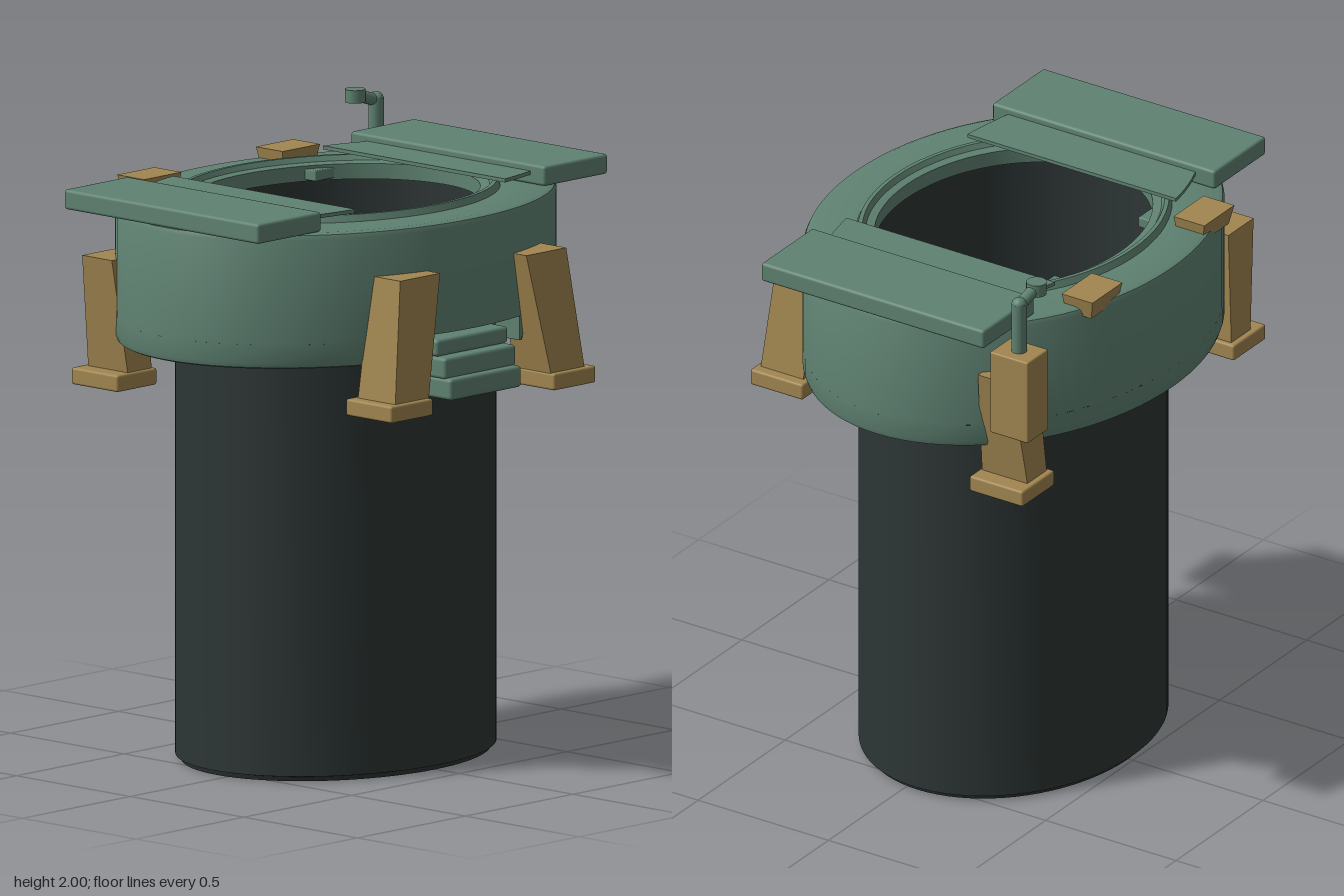
import * as THREE from 'three';
import { toCreasedNormals } from 'three/addons/utils/BufferGeometryUtils.js';
import { RoundedBoxGeometry } from 'three/addons/geometries/RoundedBoxGeometry.js';

const CZ = -0.043; // z of the shared oval axis

const paint = (name, color) => {
  const m = new THREE.MeshStandardMaterial({ color });
  m.name = name;
  return m;
};

// Oval lathe: each profile point is [x radius, z radius, y]
function oval(profile, start = 0, length = Math.PI * 2) {
  const n = profile.length;
  const seg = 80;
  const g = new THREE.LatheGeometry(profile.map(p => new THREE.Vector2(p[0], p[2])), seg, start, length);
  const pos = g.attributes.position;
  for (let i = 0; i < pos.count; i++) {
    const [rx, rz, y] = profile[i % n];
    const a = start + (Math.floor(i / n) / seg) * length;
    pos.setXYZ(i, Math.sin(a) * rx, y, Math.cos(a) * rz + CZ);
  }
  return toCreasedNormals(g, 0.6);
}

// Box between two limits, with softened edges
function box(x0, x1, y0, y1, z0, z1, r = 0.008) {
  const g = new RoundedBoxGeometry(Math.abs(x1 - x0), y1 - y0, z1 - z0, 2, r);
  return g.translate((x0 + x1) / 2, (y0 + y1) / 2, (z0 + z1) / 2);
}

// Tapered block between a bottom and a top rectangle [x0, x1, z0, z1]
function taper(bottom, top, y0, y1) {
  const g = new THREE.BoxGeometry(1, 1, 1).toNonIndexed();
  const pos = g.attributes.position;
  for (let i = 0; i < pos.count; i++) {
    const up = pos.getY(i) > 0;
    const q = up ? top : bottom;
    pos.setXYZ(i, q[pos.getX(i) > 0 ? 1 : 0], up ? y1 : y0, q[pos.getZ(i) > 0 ? 3 : 2]);
  }
  g.computeVertexNormals();
  return g;
}

export function createModel() {
  const model = new THREE.Group();
  const green = paint('sage green', 0x5f8272);
  const tan = paint('ochre', 0xa18650);
  const dark = paint('charcoal', 0x2d3635);
  const add = (name, geometry, material) => {
    const m = new THREE.Mesh(geometry, material);
    m.name = name;
    model.add(m);
    return m;
  };

  // Deep hollow shaft with a closed bottom
  add('shaft', oval([
    [0, 0, 0], [0.55, 0.44, 0], [0.555, 0.445, 0.015], [0.568, 0.458, 0.018],
    [0.568, 0.458, 1.79], [0.545, 0.44, 1.79], [0.545, 0.44, 0.05], [0, 0, 0.05],
  ]), dark);

  // Upper collar with rounded shoulder and raised inner rim
  add('collar', oval([
    [0.795, 0.612, 1.46], [0.795, 0.612, 1.80], [0.789, 0.606, 1.814], [0.775, 0.592, 1.82],
    [0.58, 0.47, 1.82], [0.57, 0.46, 1.842], [0.555, 0.447, 1.842], [0.545, 0.437, 1.825],
    [0.51, 0.412, 1.82], [0.51, 0.412, 1.77], [0.55, 0.445, 1.77],
  ]), green);

  // Lower collar, open at the front for the step recess
  const gap = 0.307;
  add('lowerCollar', oval([
    [0.56, 0.45, 1.38], [0.78, 0.597, 1.38], [0.79, 0.607, 1.385], [0.795, 0.612, 1.40], [0.795, 0.612, 1.46],
  ], gap, Math.PI * 2 - gap * 2), green);
  add('recessWall', oval([
    [0.56, 0.45, 1.38], [0.69, 0.507, 1.38], [0.69, 0.507, 1.46], [0.795, 0.612, 1.46],
  ], -0.37, 0.74), green);
  for (const s of [-1, 1]) {
    add('recessSide', box(s * 0.24, s * 0.25, 1.38, 1.465, 0.42, 0.537, 0.001), green);
  }

  // Front steps
  [[1.385, 1.44, 0.56], [1.315, 1.385, 0.595], [1.25, 1.32, 0.62]].forEach(([y0, y1, z]) => {
    add('step', box(-0.165, 0.165, y0, y1, 0.44, z, 0.012), green);
  });

  // Opened cover panels with thin inner leaves over the opening
  for (const [s, edge] of [[-1, 0.33], [1, 0.365]]) {
    add('coverPanel', box(s * 0.517, s * 0.812, 1.82, 1.885, -0.47, 0.385, 0.01), green);
    const leaf = new THREE.Shape();
    leaf.moveTo(s * 0.53, 0.39);
    leaf.quadraticCurveTo(s * 0.43, 0.432, s * edge, 0.445);
    leaf.lineTo(s * edge, -0.355);
    leaf.quadraticCurveTo(s * 0.43, -0.345, s * 0.53, -0.32);
    const g = new THREE.ExtrudeGeometry(leaf, { depth: 0.012, bevelEnabled: false });
    add('coverLeaf', g.rotateX(-Math.PI / 2).translate(0, 1.851, 0), green);
  }

  for (const s of [-1, 1]) {
    // Front leg leaning outward, with foot
    const side = (a, b) => [Math.min(s * a, s * b), Math.max(s * a, s * b)];
    add('frontLeg', taper([...side(0.285, 0.44), 0.47, 0.635], [...side(0.2, 0.385), 0.48, 0.605], 1.27, 1.67), tan);
    add('frontFoot', box(s * 0.28, s * 0.475, 1.225, 1.28, 0.45, 0.652), tan);
    // Back leg and foot
    add('backLeg', taper([...side(0.53, 0.64), -0.525, -0.35], [...side(0.55, 0.695), -0.5, -0.37], 1.27, 1.65), tan);
    add('backFoot', box(s * 0.515, s * 0.7, 1.225, 1.28, -0.545, -0.34), tan);
    // Rear clamp on the collar
    add('rearClamp', taper([...side(0.245, 0.395), -0.605, -0.51], [...side(0.235, 0.408), -0.618, -0.5], 1.79, 1.855), tan);
    // Small bracket just under the rim
    add('rimBracket', box(s * 0.24, s * 0.38, 1.775, 1.81, -0.44, -0.36, 0.004), green);
  }

  // Inside fittings: wall box and upright bars
  add('wallBox', box(-0.43, -0.345, 1.44, 1.51, -0.43, -0.36, 0.004), green);
  add('wallBoxFace', box(-0.42, -0.355, 1.45, 1.50, -0.362, -0.356, 0.001), tan);
  for (const x of [-0.2, -0.13, -0.02]) {
    const z = CZ - 0.44 * Math.sqrt(1 - (x / 0.545) ** 2) + 0.012;
    add('wallBar', box(x - 0.01, x + 0.01, 1.38, 1.77, z - 0.012, z + 0.012, 0.003), dark);
  }

  // Equipment case with periscope
  add('equipmentCase', box(0.645, 0.765, 1.5, 1.79, -0.608, -0.462, 0.006), tan);
  const mast = new THREE.CylinderGeometry(0.025, 0.025, 0.18, 20).translate(0.705, 1.87, -0.535);
  add('mast', mast, green);
  const arm = new THREE.LineCurve3(new THREE.Vector3(0.71, 1.95, -0.535), new THREE.Vector3(0.615, 1.98, -0.54));
  add('mastArm', new THREE.TubeGeometry(arm, 1, 0.02, 16), green);
  add('mastElbow', new THREE.SphereGeometry(0.025, 20, 12).translate(0.705, 1.955, -0.535), green);
  add('mastHead', new THREE.CylinderGeometry(0.033, 0.033, 0.042, 20).translate(0.613, 1.979, -0.54), green);

  return model;
}
